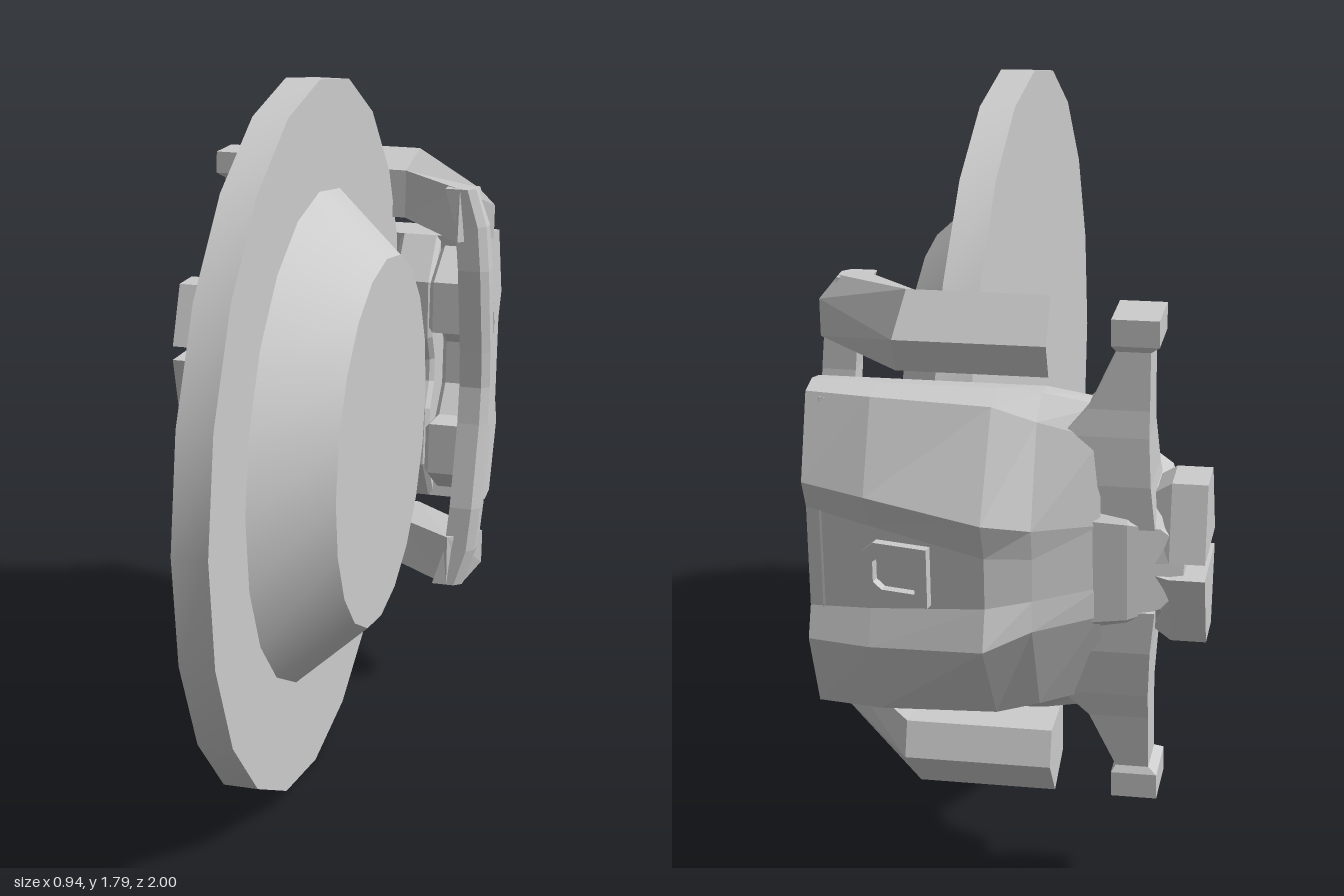
import * as THREE from 'three';
import { toCreasedNormals } from 'three/addons/utils/BufferGeometryUtils.js';

const material = new THREE.MeshStandardMaterial({ color: 0xcccccc });

function add(parent, name, geometry) {
  const mesh = new THREE.Mesh(geometry, material);
  mesh.name = name;
  parent.add(mesh);
  return mesh;
}

// Skin through equal-length rings of [x, y, z]; caps are triangulated on two axes.
function loft(rings, capAxes = [2, 1]) {
  const tris = [];
  const n = rings[0].length;
  for (let r = 0; r < rings.length - 1; r++) {
    for (let i = 0; i < n; i++) {
      const j = (i + 1) % n;
      const [a, b, c, d] = [rings[r][i], rings[r][j], rings[r + 1][j], rings[r + 1][i]];
      tris.push([a, b, c], [a, c, d]);
    }
  }
  [rings[0], rings[rings.length - 1]].forEach((ring, end) => {
    const flat = ring.map(p => new THREE.Vector2(p[capAxes[0]], p[capAxes[1]]));
    const cw = THREE.ShapeUtils.isClockWise(flat);
    for (const f of THREE.ShapeUtils.triangulateShape(flat, [])) {
      const t = f.map(i => flat[i]);
      const faceCw = THREE.ShapeUtils.isClockWise(t);
      const tri = f.map(i => ring[i]);
      // The first cap runs against the ring, the last cap runs with it
      tris.push((faceCw === cw) === (end === 1) ? tri : tri.reverse());
    }
  });
  // Turn the skin outward whichever way the rings were listed
  const [a, b, c] = [new THREE.Vector3(), new THREE.Vector3(), new THREE.Vector3()];
  let volume = 0;
  for (const t of tris) {
    a.set(...t[0]); b.set(...t[1]); c.set(...t[2]);
    volume += a.dot(b.cross(c));
  }
  if (volume < 0) tris.forEach(t => t.reverse());
  const geometry = new THREE.BufferGeometry();
  geometry.setAttribute('position', new THREE.Float32BufferAttribute(tris.flat(2), 3));
  geometry.computeVertexNormals();
  return geometry;
}

// Side-profile plate, points are [distance behind centre, height], mirrored in height.
function plate(half, x0, x1, bevel = 0.012) {
  const full = [...half, ...half.slice().reverse().map(([s, v]) => [s, -v])];
  const shape = new THREE.Shape(full.map(p => new THREE.Vector2(...p)));
  const geometry = new THREE.ExtrudeGeometry(shape, {
    depth: x1 - x0 - 2 * bevel, bevelEnabled: bevel > 0, bevelSize: bevel,
    bevelThickness: bevel, bevelOffset: -bevel, bevelSegments: 1,
  });
  return geometry.translate(0, 0, x0 + bevel).rotateY(Math.PI / 2);
}

// Disc with its raised conical hat
function buildDisc() {
  const profile = [[0, 0.07], [0.893, 0.07], [0.893, 0.155], [0.62, 0.155], [0.465, 0.325], [0, 0.325]];
  const lathe = new THREE.LatheGeometry(profile.map(p => new THREE.Vector2(...p)), 20);
  return toCreasedNormals(lathe.rotateZ(-Math.PI / 2), 0.5).translate(0, 0.897, 0.107);
}

// Curved body spanning the rim, with two ribs and a channel between them
function buildBridge() {
  const section = (x, half, inner) => {
    const mirror = list => list.slice().reverse().map(([v, z]) => [-v, z]);
    const ring = [...half, ...mirror(half), ...mirror(inner.slice().reverse()).reverse(), ...inner];
    return ring.map(([v, z]) => [x, v, z]);
  };
  // inner points run from the channel outwards
  const inner = [[0.12, -0.8], [0.31, -0.71]];
  return loft([
    section(-0.24, [[0.36, -0.72], [0.36, -0.77], [0.3, -0.82], [0.11, -0.85], [0.04, -0.85]], inner),
    section(-0.1, [[0.375, -0.7], [0.385, -0.77], [0.34, -0.84], [0.12, -0.93], [0.05, -0.92]], inner),
    section(0, [[0.375, -0.7], [0.39, -0.77], [0.37, -0.84], [0.15, -0.99], [0.06, -0.955]], inner),
    section(0.27, [[0.375, -0.7], [0.39, -0.77], [0.38, -0.84], [0.18, -0.935], [0.1, -0.9]], inner),
    section(0.42, [[0.375, -0.7], [0.39, -0.76], [0.38, -0.82], [0.19, -0.89], [0.12, -0.86]], inner),
  ]);
}

// Faceted cylinder housing on the inboard side
function buildHousing() {
  const ring = (x, h, front, back) => [
    [x, h * 0.5, front], [x, h, front - 0.1], [x, h, back + 0.08], [x, h * 0.6, back],
    [x, -h * 0.6, back], [x, -h, back + 0.08], [x, -h, front - 0.1], [x, -h * 0.5, front],
  ];
  return loft([
    ring(-0.42, 0.08, -0.6, -0.8), ring(-0.37, 0.16, -0.48, -0.82), ring(-0.3, 0.19, -0.435, -0.85),
    ring(-0.2, 0.205, -0.42, -0.86), ring(-0.07, 0.155, -0.41, -0.86),
  ]);
}

// Upper or lower bracket arm, bent round the rim towards the outboard strap
function buildBracketArm(s) {
  const profile = [[0.56, -0.64], [0.605, -0.76], [0.51, -0.83], [0.43, -0.8], [0.43, -0.64]];
  const bendX = [0.19, 0.2, 0.22, 0.22, 0.19];
  return loft([
    profile.map(([v, z]) => [-0.12, s * v, z]),
    profile.map(([v, z], i) => [bendX[i], s * v, z]),
    [[0.38, 0.55, -0.45], [0.42, 0.55, -0.5], [0.46, 0.5, -0.53], [0.46, 0.41, -0.53], [0.38, 0.41, -0.44]]
      .map(([x, v, z]) => [x, s * v, z]),
  ]);
}

// Outboard strap joining both bracket arms, bowed back at the middle
function buildStrap() {
  const stations = [[0.55, -0.45, 0.41], [0.45, -0.455, 0.44], [0.33, -0.46, 0.45], [0.1, -0.5, 0.455], [0, -0.51, 0.455]];
  const all = [...stations, ...stations.slice(0, -1).reverse().map(([v, z, x]) => [-v, z, x])];
  return loft(all.map(([v, z, x]) => [
    [x - 0.07, v, z], [x - 0.01, v, z], [x + 0.01, v, z - 0.02], [x + 0.01, v, z - 0.07], [x - 0.07, v, z - 0.07],
  ]), [0, 2]);
}

// Tapered inboard ear ending in a square pin block
function buildEar(s) {
  const ring = (v, x0, x1, z0, z1) => [
    [x0, s * v, z0], [x1, s * v, z0], [x1, s * v, z1], [x0, s * v, z1],
  ];
  return loft([
    ring(0.1, -0.36, -0.13, -0.84, -0.62), ring(0.2, -0.35, -0.14, -0.84, -0.66),
    ring(0.31, -0.345, -0.15, -0.83, -0.7), ring(0.37, -0.345, -0.21, -0.82, -0.71),
    ring(0.5, -0.345, -0.27, -0.81, -0.7), ring(0.515, -0.365, -0.26, -0.82, -0.68),
    ring(0.575, -0.365, -0.26, -0.82, -0.68),
  ], [0, 2]);
}

// Chamfered hose fitting at the inboard end
function buildFitting(s) {
  const ring = (x, v0, v1, z0, z1) => [
    [x, s * v0, z0], [x, s * v1, z0 + 0.05], [x, s * v1, z1 - 0.06], [x, s * v0, z1],
  ];
  return loft([
    ring(-0.47, 0.02, 0.19, -0.83, -0.61), ring(-0.39, 0.02, 0.19, -0.83, -0.61),
    ring(-0.33, 0.01, 0.15, -0.82, -0.6),
  ]);
}

// Raised frame around the inspection window
function buildWindowFrame() {
  const outline = (w, h, Type) => new Type([
    [-w, -h * 0.6], [-w * 0.6, -h], [w, -h], [w, h], [-w * 0.6, h], [-w, h * 0.6],
  ].map(p => new THREE.Vector2(...p)));
  const shape = outline(0.08, 0.07, THREE.Shape);
  shape.holes.push(outline(0.05, 0.04, THREE.Path));
  return new THREE.ExtrudeGeometry(shape, { depth: 0.04, bevelEnabled: false })
    .rotateY(Math.PI).rotateY(-0.2).translate(0.2, 0, -0.895);
}

export function createModel() {
  const model = new THREE.Group();
  model.name = 'discBrake';
  add(model, 'disc', buildDisc());

  // The whole caliper leans slightly backwards
  const caliper = new THREE.Group();
  caliper.name = 'caliper';
  caliper.position.set(0, 0.855, -0.65);
  caliper.rotation.x = -0.047;
  model.add(caliper);
  const parts = new THREE.Group();
  parts.name = 'caliperParts';
  parts.position.z = 0.65;
  caliper.add(parts);

  add(parts, 'bridge', buildBridge());
  add(parts, 'pistonHousing', buildHousing());
  add(parts, 'windowFrame', buildWindowFrame());
  add(parts, 'outboardFingers', plate(
    [[0.77, 0.06], [0.7, 0.135], [0.57, 0.13], [0.57, 0.27], [0.77, 0.385], [0.83, 0.37], [0.87, 0.18]], 0.28, 0.4));
  const pad = [[0.66, 0.03], [0.62, 0.1], [0.61, 0.26], [0.7, 0.375], [0.79, 0.37], [0.83, 0.2]];
  add(parts, 'outboardPad', plate(pad, 0.165, 0.28));
  add(parts, 'inboardPad', plate(pad, -0.1, 0.06));
  add(parts, 'outboardStrap', buildStrap());
  for (const s of [1, -1]) {
    const prefix = s > 0 ? 'upper' : 'lower';
    add(parts, prefix + 'BracketArm', buildBracketArm(s));
    add(parts, prefix + 'Ear', buildEar(s));
    add(parts, prefix + 'HoseFitting', buildFitting(s));
  }
  return model;
}
